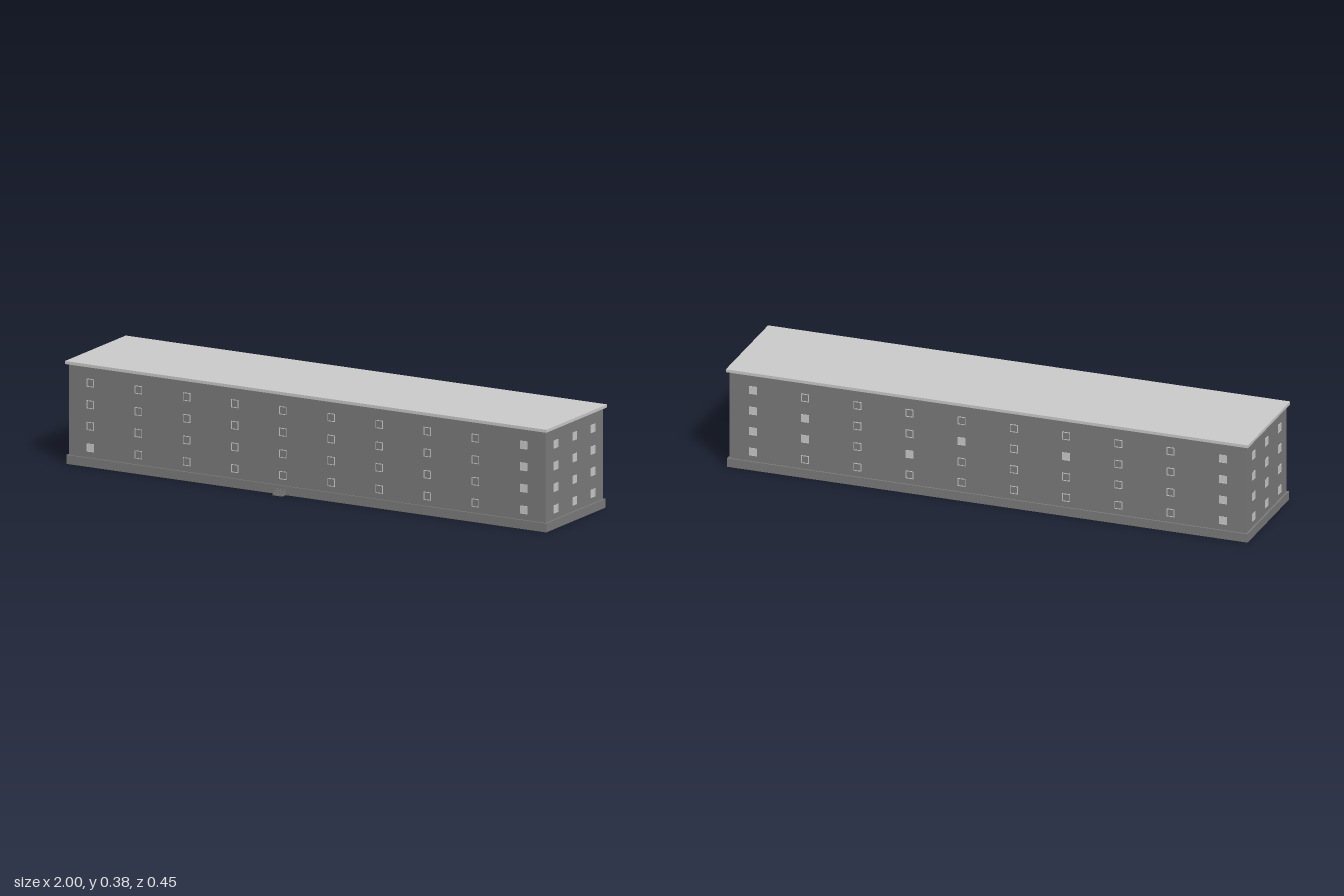
import * as THREE from 'three';

const light = new THREE.MeshStandardMaterial({ color: 0xcccccc });
const dark = new THREE.MeshStandardMaterial({ color: 0x7c7c7c });

// Box given by its minimum and maximum corners
function slab(name, material, [x0, y0, z0], [x1, y1, z1]) {
  const mesh = new THREE.Mesh(new THREE.BoxGeometry(x1 - x0, y1 - y0, z1 - z0), material);
  mesh.position.set((x0 + x1) / 2, (y0 + y1) / 2, (z0 + z1) / 2);
  mesh.name = name;
  return mesh;
}

function square(shape, half) {
  shape.moveTo(-half, -half);
  shape.lineTo(half, -half);
  shape.lineTo(half, half);
  shape.lineTo(-half, half);
  shape.closePath();
  return shape;
}

// Thin square window frame, standing just proud of the wall
const frameShape = square(new THREE.Shape(), 0.015);
frameShape.holes.push(square(new THREE.Path(), 0.0125));
const frameGeometry = new THREE.ExtrudeGeometry(frameShape, { depth: 0.002, bevelEnabled: false });
const paneGeometry = new THREE.PlaneGeometry(0.025, 0.025);

function makeWindow(x, y, z, turn, isLight) {
  const win = new THREE.Group();
  win.name = 'window';
  const frame = new THREE.Mesh(frameGeometry, light);
  frame.name = 'windowFrame';
  const pane = new THREE.Mesh(paneGeometry, isLight ? light : dark);
  pane.name = 'windowPane';
  pane.position.z = 0.0005;
  win.add(frame, pane);
  win.position.set(x, y, z);
  win.rotation.y = turn;
  return win;
}

export function createModel() {
  const model = new THREE.Group();
  model.name = 'apartmentBlock';

  const wallX = 0.99, wallFront = 0.197, wallBack = -0.214;

  // Plinth, walls and overhanging flat roof
  model.add(
    slab('plinth', dark, [-0.997, 0, -0.22], [0.997, 0.033, 0.203]),
    slab('walls', dark, [-wallX, 0.033, wallBack], [wallX, 0.37, wallFront]),
    slab('roof', light, [-1, 0.37, -0.225], [1, 0.381, 0.208])
  );

  // Light panes on the long sides, one row string per storey from the ground up
  const frontPanes = ['1000000001', '0000000001', '0000000001', '0000000001'];
  const backPanes = ['1000000001', '1000001011', '1001010011', '1000000001'];

  for (let row = 0; row < 4; row++) {
    const y = 0.07 + row * 0.08;
    for (let col = 0; col < 10; col++) {
      const x = -0.9 + col * 0.2;
      model.add(makeWindow(x, y, wallFront, 0, frontPanes[row][col] === '1'));
      model.add(makeWindow(x, y, wallBack, Math.PI, backPanes[row][col] === '1'));
    }
    for (const z of [0.123, -0.009, -0.14]) {
      for (const side of [-1, 1]) {
        model.add(makeWindow(side * wallX, y, z, side * Math.PI / 2, true));
      }
    }
  }

  // Small entrance stair
  const stair = new THREE.Group();
  stair.name = 'entranceStair';
  for (let i = 0; i < 4; i++) {
    stair.add(slab('step', dark, [-0.125, i * 0.005, 0.2], [-0.085, (i + 1) * 0.005, 0.228 - i * 0.0072]));
  }
  model.add(stair);

  return model;
}
